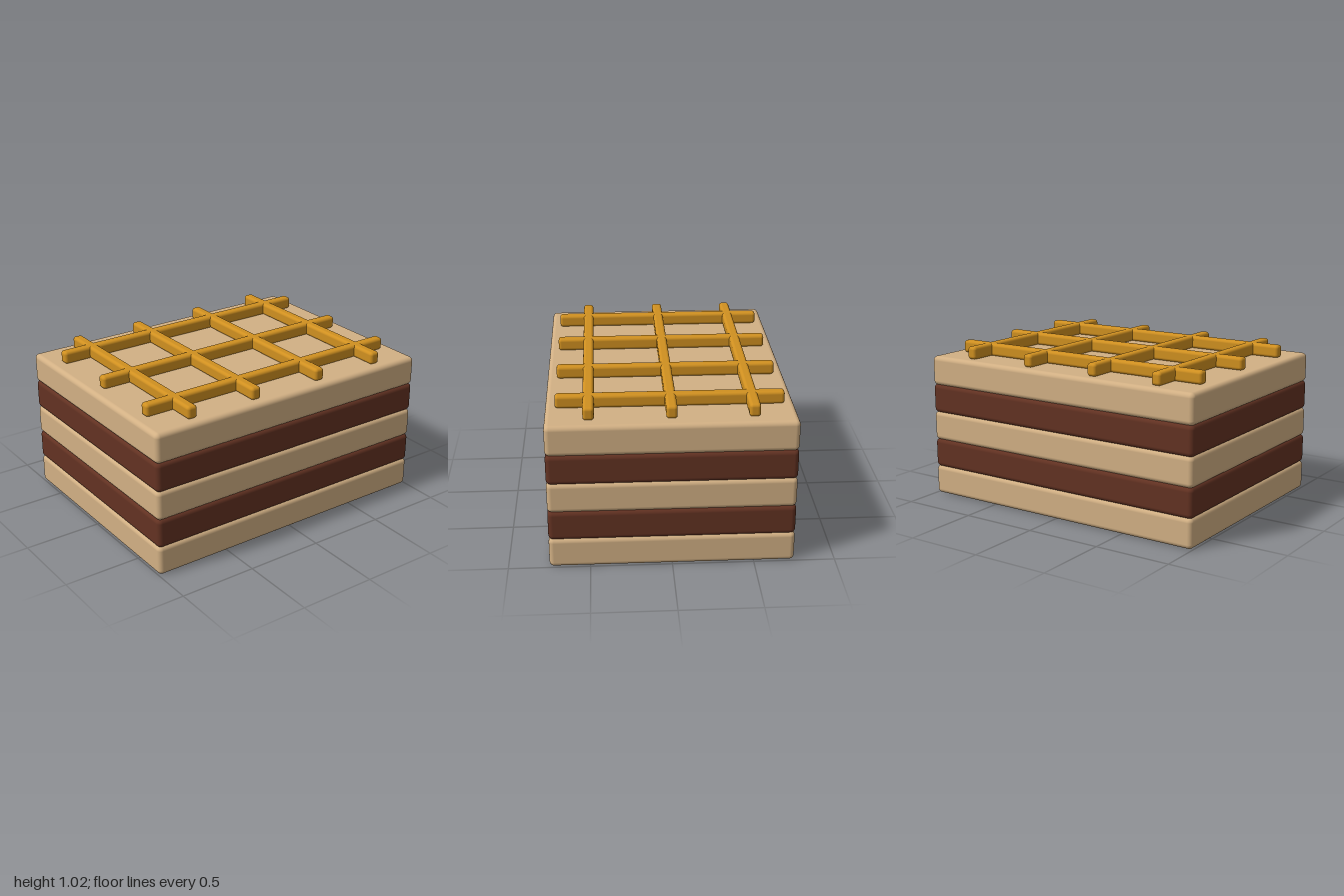
import * as THREE from 'three';
import { RoundedBoxGeometry } from 'three/addons/geometries/RoundedBoxGeometry.js';

const material = (name, color) => {
  const m = new THREE.MeshStandardMaterial({ color });
  m.name = name;
  return m;
};

export function createModel() {
  const group = new THREE.Group();
  group.name = 'layeredCake';
  const sponge = material('sponge', 0xd2b084);
  const chocolate = material('chocolate', 0x633222);
  const caramel = material('caramel', 0xd09020);

  const block = (name, mat, size, radius, position) => {
    const mesh = new THREE.Mesh(new RoundedBoxGeometry(...size, 4, radius), mat);
    mesh.name = name;
    mesh.position.set(...position);
    group.add(mesh);
  };

  // Alternating, slightly overlapping sponge and filling layers
  const height = 0.194, step = 0.1865;
  for (let i = 0; i < 5; i++) {
    const filling = i % 2 === 1;
    block(filling ? 'fillingLayer' : 'spongeLayer', filling ? chocolate : sponge,
      [2, height, 1.5], 0.03, [0, height / 2 + i * step, 0]);
  }

  // Lattice of icing bars on the top
  const barY = 0.979, barHeight = 0.082, barWidth = 0.067, barRadius = 0.02;
  for (const z of [-0.49, 0, 0.49]) {
    block('longIcingBar', caramel, [1.84, barHeight, barWidth], barRadius, [0, barY, z]);
  }
  for (const x of [-0.707, -0.246, 0.246, 0.707]) {
    block('crossIcingBar', caramel, [barWidth, barHeight, 1.38], barRadius, [x, barY, 0]);
  }
  return group;
}
